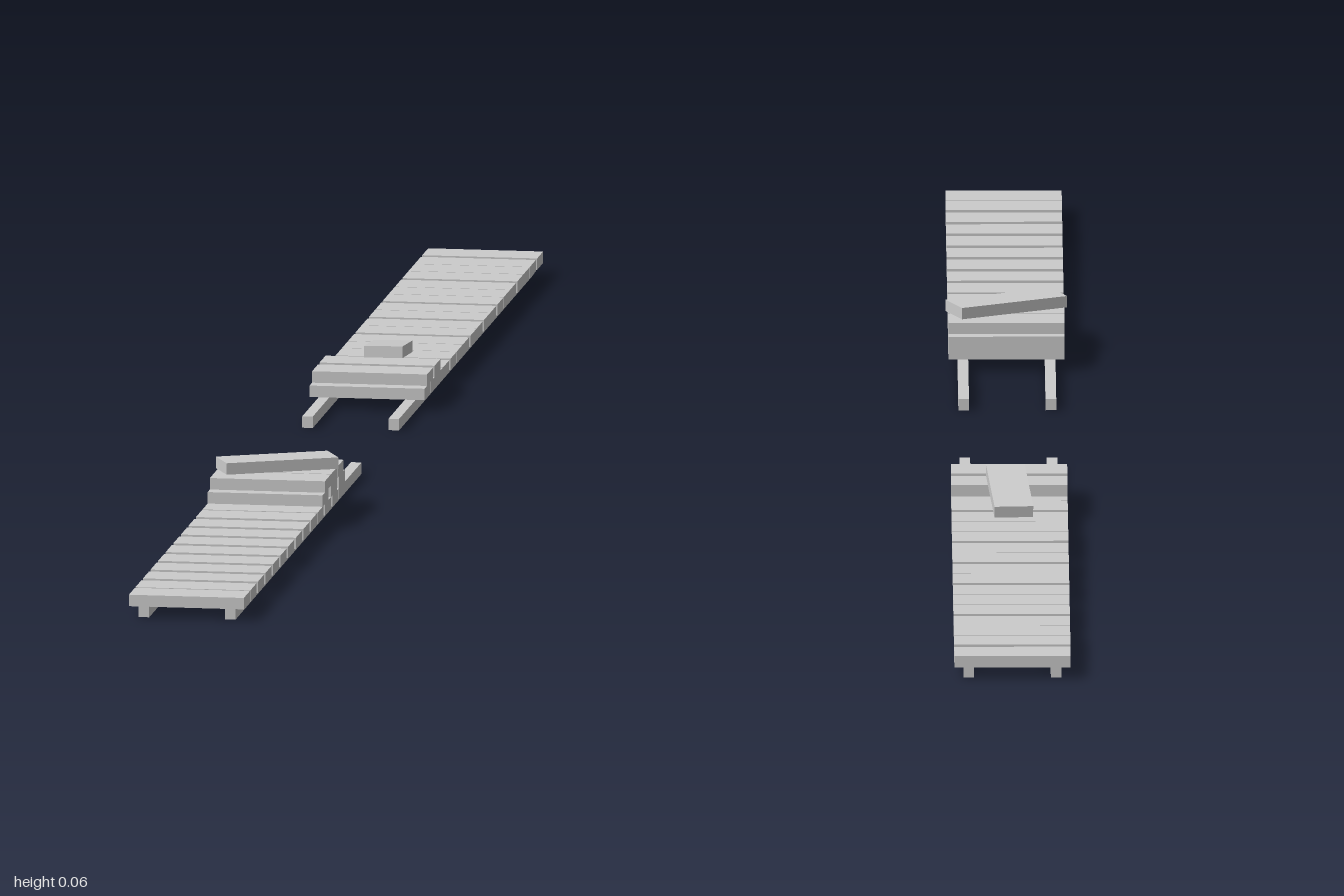
import * as THREE from 'three';

const T = 0.012, W = 0.12, D = 0.04; // plank thickness, width, depth
const material = new THREE.MeshStandardMaterial({ color: 0xcccccc, flatShading: true });

function box(parent, name, size, pos) {
  const mesh = new THREE.Mesh(new THREE.BoxGeometry(...size), material);
  mesh.name = name;
  mesh.position.set(...pos);
  parent.add(mesh);
  return mesh;
}

// plank lying across the rails; layer 1 is the deck
const plank = (parent, name, layer, z, x = 0) =>
  box(parent, name, [W, T, D], [x, T * (layer + 0.5), z]);

function rails(parent, z0, z1) {
  for (const side of [-1, 1])
    box(parent, side > 0 ? 'leftRail' : 'rightRail', [0.011, T, z1 - z0], [side * 0.045, T / 2, (z0 + z1) / 2]);
}

// row of planks running from the outer end inwards, with uneven gaps
function deck(parent, start, dir, count, wideGaps, wide, thin) {
  let z = start + dir * D / 2;
  for (let i = 0; i < count; i++) {
    plank(parent, 'deckPlank', 1, z);
    z += dir * (D + (wideGaps.includes(i) ? wide : thin));
  }
}

export function createModel() {
  const model = new THREE.Group();
  model.name = 'brokenPlankTrack';

  // front section
  const front = new THREE.Group();
  front.name = 'frontSection';
  model.add(front);
  rails(front, 0.15, 0.99);
  deck(front, 0.995, -1, 14, [1, 2, 3, 4, 5, 6, 7, 8, 10, 11], 0.0105, 0.0035);

  // stack of loose planks, topped by a skewed one
  for (const z of [0.34, 0.395, 0.45]) plank(front, 'stackedPlank', 2, z);
  for (const z of [0.351, 0.393, 0.435]) plank(front, 'stackedPlank', 3, z);
  plank(front, 'skewedPlank', 4, 0.39).rotation.y = 0.44;

  // back section
  const back = new THREE.Group();
  back.name = 'backSection';
  model.add(back);
  rails(back, -0.995, -0.1);
  deck(back, -1, 1, 18, [0, 3, 6, 8, 10, 13], 0.009, 0.0015);

  // two loose planks with a third leaning on them
  for (const z of [-0.246, -0.296]) plank(back, 'loosePlank', 2, z);
  const leaning = box(back, 'leaningPlank', [D, T, W], [0, 0.0385, -0.35]);
  leaning.rotation.set(-0.13, 0.07, 0, 'YXZ');

  return model;
}
